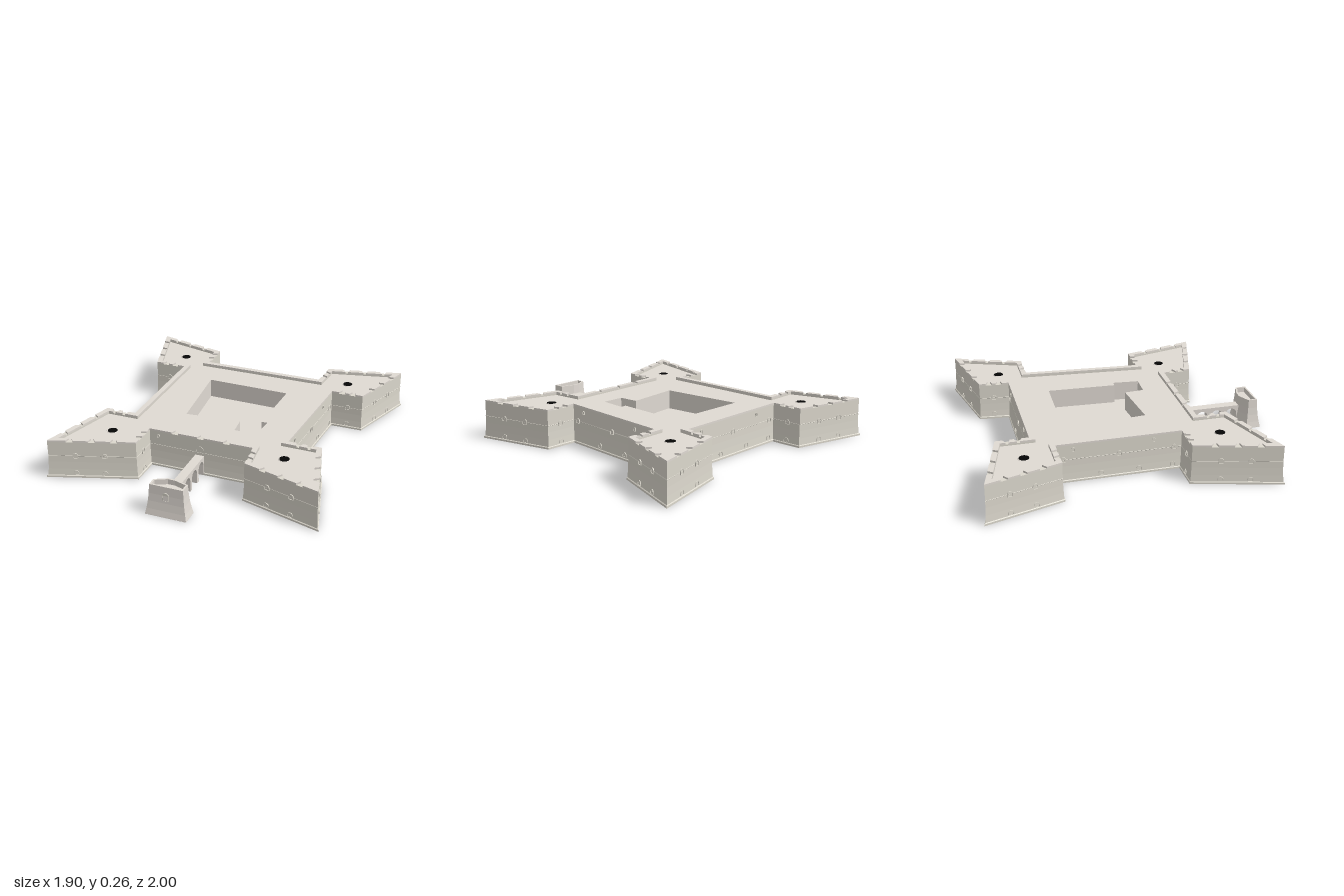
import * as THREE from 'three';

const stone = new THREE.MeshStandardMaterial({ color: 0xe0dad3, flatShading: true });
stone.name = 'stone';
const wallStone = new THREE.MeshStandardMaterial({ color: 0xdcd8cd, flatShading: true });
wallStone.name = 'wallStone';
const black = new THREE.MeshStandardMaterial({ color: 0x050505 });
black.name = 'black';

// Plan of the walls: per side face, flank, curtain, flank, face
const PLAN = [
  [-0.947, -0.99], [-0.43, -0.86], [-0.43, -0.65], [0.4, -0.65], [0.42, -0.85],
  [0.945, -0.97], [0.77, -0.49], [0.555, -0.49], [0.495, 0.287], [0.713, 0.29],
  [0.84, 0.802], [0.318, 0.652], [0.3, 0.46], [-0.39, 0.46], [-0.39, 0.658],
  [-0.94, 0.84], [-0.79, 0.287], [-0.587, 0.287], [-0.587, -0.5], [-0.802, -0.5],
];
const COURT = [[-0.325, -0.405], [0.25, -0.39], [0.23, 0.07], [0.27, 0.07],
  [0.255, 0.245], [0.105, 0.24], [0.095, 0.11], [-0.275, 0.145]];
const RAVELIN = [[-0.178, 0.9], [-0.08, 0.85], [-0.02, 0.85], [0.092, 0.885], [0.092, 1], [-0.178, 1]];
const WALL_TOP = 0.262, SILL = 0.25, DECK = 0.24, FLOOR = 0.11, BATTER = 0.007, INNER = 0.042;

function add(parent, name, geometry, material) {
  const mesh = new THREE.Mesh(geometry, material);
  mesh.name = name;
  parent.add(mesh);
  return mesh;
}

function edge(poly, i) {
  const a = poly[i], b = poly[(i + 1) % poly.length];
  const len = Math.hypot(b[0] - a[0], b[1] - a[1]);
  const dir = [(b[0] - a[0]) / len, (b[1] - a[1]) / len];
  return { a, b, len, dir, inward: [-dir[1], dir[0]] };
}

// Mitred inward offset of a plan
function inset(poly, d) {
  return poly.map((p, i) => {
    const m = edge(poly, (i + poly.length - 1) % poly.length).inward;
    const n = edge(poly, i).inward;
    const k = d / (1 + m[0] * n[0] + m[1] * n[1]);
    return [p[0] + (m[0] + n[0]) * k, p[1] + (m[1] + n[1]) * k];
  });
}

// Wall skin following a profile of [inset, height]
function skin(poly, profile) {
  const v = [];
  const rings = profile.map(([d, y]) => inset(poly, d).map(p => [p[0], y, p[1]]));
  for (let r = 0; r < rings.length - 1; r++) {
    const lo = rings[r], hi = rings[r + 1];
    for (let i = 0; i < poly.length; i++) {
      const j = (i + 1) % poly.length;
      v.push(...lo[i], ...hi[i], ...hi[j], ...lo[i], ...hi[j], ...lo[j]);
    }
  }
  const g = new THREE.BufferGeometry();
  g.setAttribute('position', new THREE.Float32BufferAttribute(v, 3));
  g.computeVertexNormals();
  return g;
}

// Horizontal slab from a plan, with optional holes wound the other way
function slab(poly, y0, y1, holes = []) {
  const pts = q => q.map(p => new THREE.Vector2(p[0], -p[1]));
  const s = new THREE.Shape(pts(poly));
  s.holes = holes.map(h => new THREE.Path(pts(h).reverse()));
  return new THREE.ExtrudeGeometry(s, { depth: y1 - y0, bevelEnabled: false })
    .rotateX(-Math.PI / 2).translate(0, y0, 0);
}

function arch(path, w, h) {
  path.moveTo(-w / 2, 0);
  path.lineTo(w / 2, 0);
  path.lineTo(w / 2, h - w / 2);
  path.absarc(0, h - w / 2, w / 2, 0, Math.PI, false);
  path.closePath();
  return path;
}

// Arched opening: a thin stone surround around a sunken panel
function opening(parent, name, x, y, z, angle, w, h) {
  const g = new THREE.Group();
  g.name = name;
  const frame = arch(new THREE.Shape(), w + 0.008, h + 0.004);
  frame.holes.push(arch(new THREE.Path(), w, h));
  add(g, 'surround', new THREE.ExtrudeGeometry(frame, { depth: 0.009, bevelEnabled: false, curveSegments: 6 }), wallStone);
  add(g, 'recess', new THREE.ExtrudeGeometry(arch(new THREE.Shape(), w, h),
    { depth: 0.004, bevelEnabled: false, curveSegments: 6 }), wallStone);
  g.position.set(x, y, z);
  g.rotation.y = angle;
  parent.add(g);
}

function wallOpening(parent, i, t, y, w, h) {
  const e = edge(PLAN, i), s = e.len * t, d = y < 0.1 ? 0.007 : 0.01;
  opening(parent, 'window', e.a[0] + e.dir[0] * s + e.inward[0] * d, y,
    e.a[1] + e.dir[1] * s + e.inward[1] * d, Math.atan2(-e.inward[0], -e.inward[1]), w, h);
}

// Merlons along one side, with gaps splayed towards the outside
function merlons(parent, outer, inner, i, gaps) {
  const e = edge(outer, i), f = edge(inner, i), depth = INNER - BATTER;
  const at = (s, d) => [e.a[0] + e.dir[0] * s + e.inward[0] * d, e.a[1] + e.dir[1] * s + e.inward[1] * d];
  for (let k = 0; k <= gaps; k++) {
    const s0 = e.len * k / (gaps + 1), s1 = e.len * (k + 1) / (gaps + 1);
    const quad = [
      k === 0 ? e.a : at(s0 + 0.022, 0),
      k === gaps ? e.b : at(s1 - 0.022, 0),
      k === gaps ? f.b : at(s1 - 0.009, depth),
      k === 0 ? f.a : at(s0 + 0.009, depth),
    ];
    add(parent, 'merlon', slab(quad, SILL, WALL_TOP), stone);
  }
}

export function createModel() {
  const model = new THREE.Group();
  model.name = 'starFort';

  // Thick battered walls: inner face, foot, plinth, faint string course, parapet
  add(model, 'walls', skin(PLAN, [[INNER, FLOOR], [INNER, 0], [-0.004, 0], [-0.004, 0.012], [0.001, 0.016],
    [0.004, 0.06], [0.006, 0.11], [0.0065, 0.152], [0.0055, 0.154], [BATTER, 0.156], [BATTER, SILL],
    [INNER, SILL], [INNER, DECK]]), wallStone);
  // Upper terrace around the courtyard, over a raised floor
  add(model, 'terrace', slab(inset(PLAN, INNER - 0.002), FLOOR, DECK, [COURT]), stone);
  add(model, 'floor', slab(inset(PLAN, INNER - 0.004), FLOOR - 0.004, FLOOR), stone);

  // Parapet top
  const parapet = new THREE.Group();
  parapet.name = 'parapet';
  model.add(parapet);
  const outer = inset(PLAN, BATTER), inner = inset(PLAN, INNER);
  PLAN.forEach((p, i) => {
    const gaps = i === 12 ? 3 : [3, 2, 0, 2, 3][i % 5];
    merlons(parapet, outer, inner, i, gaps);
  });

  // Windows in two rows
  const windows = new THREE.Group();
  windows.name = 'windows';
  model.add(windows);
  PLAN.forEach((p, i) => {
    const kind = i % 5;
    if (kind === 2) {
      if (i === 12) return;
      for (const t of [0.05, 0.5, 0.95]) wallOpening(windows, i, t, 0.14, 0.026, 0.03);
      for (const t of [0.06, 0.34, 0.65]) wallOpening(windows, i, t, 0.025, 0.026, 0.026);
      for (const t of [0.22, 0.87]) wallOpening(windows, i, t, 0.21, 0.012, 0.02);
      return;
    }
    const spots = kind === 0 || kind === 4 ? [0.36, 0.68] : [0.5];
    for (const t of spots) {
      wallOpening(windows, i, t, 0.14, 0.028, 0.03);
      wallOpening(windows, i, t, 0.02, 0.03, 0.025);
    }
  });
  wallOpening(windows, 12, 0.92, 0.205, 0.012, 0.02);
  opening(model, 'gate', -0.05, 0.125, 0.447, 0, 0.045, 0.07);

  // Round wells in the bastions
  for (const [x, z] of [[-0.65, -0.71], [0.61, -0.685], [-0.625, 0.53], [0.522, 0.477]]) {
    add(model, 'wellRim', new THREE.TorusGeometry(0.035, 0.003, 6, 24).rotateX(Math.PI / 2), stone)
      .position.set(x, DECK, z);
    add(model, 'well', new THREE.CylinderGeometry(0.031, 0.031, 0.006, 24), black).position.set(x, DECK, z);
  }

  // Outwork in front of the gate
  add(model, 'outworkWalls', skin(RAVELIN, [[0, 0], [0.009, 0.04], [0.017, 0.09], [0.022, 0.14],
    [0.025, 0.2], [0.036, 0.2], [0.036, 0.165]]), stone);
  add(model, 'outworkFloor', slab(inset(RAVELIN, 0.034), 0.15, 0.165), stone);
  add(model, 'outworkBase', slab(inset(RAVELIN, 0.0005), 0, 0.003), stone);
  opening(model, 'outworkNiche', -0.045, 0.108, 0.974, 0, 0.034, 0.05);

  // Bridge on arched piers
  const side = new THREE.Shape();
  const z0 = 0.44, z1 = 0.885, spans = 4, pier = 0.026, deck = 0.135, spring = 0.075;
  const step = (z1 - z0 - pier) / spans;
  side.moveTo(z0, 0);
  side.lineTo(z0 + pier, 0);
  for (let k = 0; k < spans; k++) {
    const a = z0 + pier + k * step, b = a + step - pier, r = (b - a) / 2;
    side.lineTo(a, spring);
    side.absarc(a + r, spring, r, Math.PI, 0, true);
    side.lineTo(b, 0);
    side.lineTo(b + pier, 0);
  }
  side.lineTo(z1, deck);
  side.lineTo(z0, deck);
  add(model, 'bridge', new THREE.ExtrudeGeometry(side, { depth: 0.06, bevelEnabled: false, curveSegments: 8 })
    .rotateY(-Math.PI / 2), stone).position.x = -0.02;

  return model;
}
